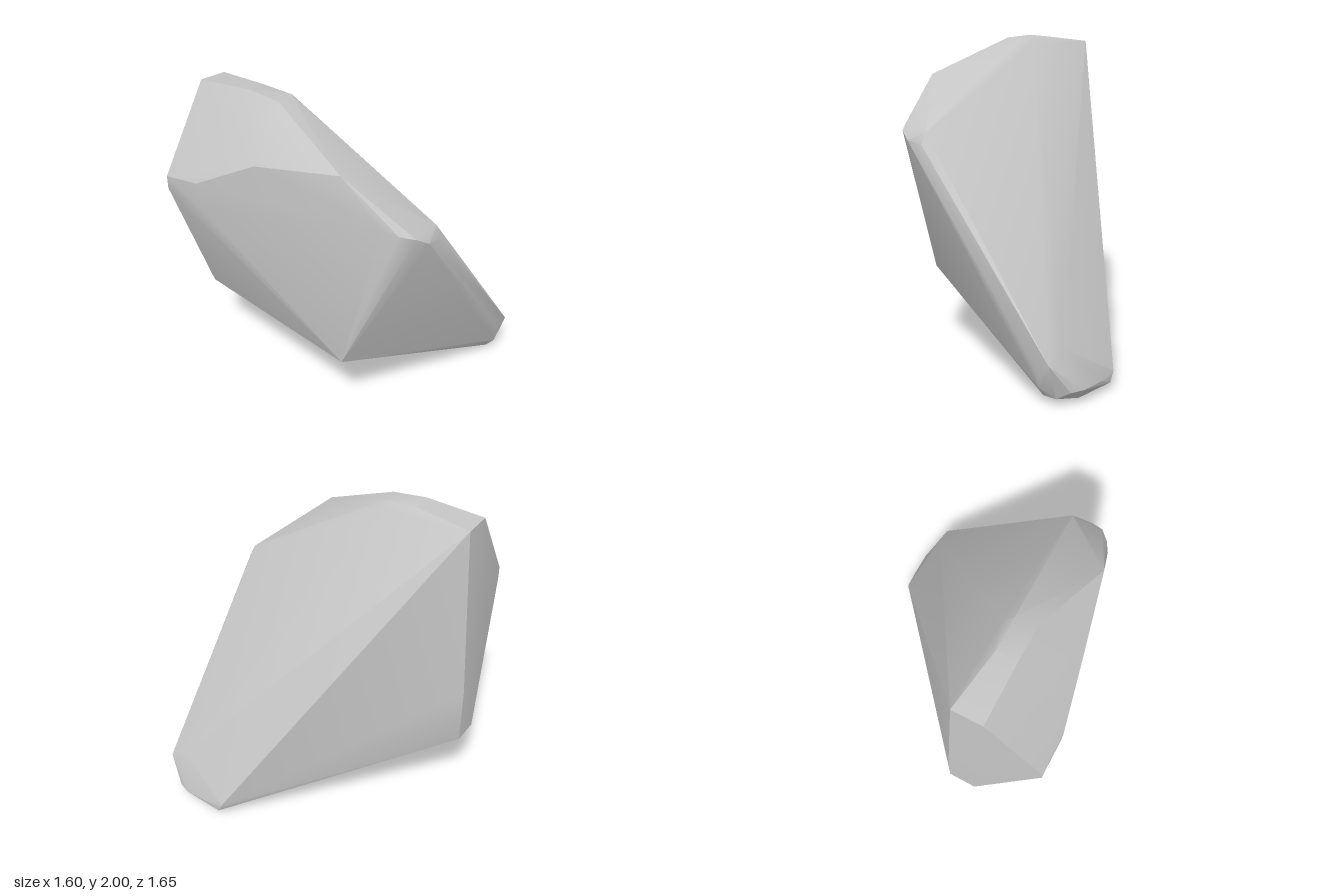
import * as THREE from 'three';
import { ConvexGeometry } from 'three/addons/geometries/ConvexGeometry.js';
import { toCreasedNormals } from 'three/addons/utils/BufferGeometryUtils.js';

// Corner groups of the leaning boulder, as [x, y, z]
const crest = [
  [-0.44, 1.98, -0.15], [-0.44, 2, -0.38], [-0.44, 1.97, -0.76],
  [-0.31, 1.98, -0.17], [-0.31, 1.99, -0.38], [-0.26, 1.95, -0.2], [-0.25, 1.96, -0.76],
];
const leftSide = [
  [-0.59, 1.75, 0.4], [-0.71, 1.7, -0.11], [-0.8, 1.51, -0.49], [-0.8, 1.36, -0.49],
  [-0.8, 1.48, -0.74], [-0.8, 1.4, -0.74], [-0.59, 0.5, 0.4],
];
const back = [[-0.42, 0.5, -0.83], [-0.24, 0.5, -0.83], [-0.24, 0.87, -0.83]];
const frontRidge = [
  [-0.54, 1.48, 0.64], [-0.5, 1.45, 0.72], [-0.44, 1.43, 0.79], [-0.36, 1.38, 0.825],
  [-0.24, 1.36, 0.825], [-0.24, 1.43, 0.79], [0.71, 0.25, 0.825], [0.61, 0.22, 0.825],
];
const foot = [
  [0.7, 0.32, 0.7], [0.79, 0.1, 0.34], [0.79, 0.04, 0.37], [0.8, 0.08, 0.46], [0.8, 0.08, 0.63],
  [0.77, 0.08, 0.71], [0.74, 0.01, 0.4], [0.74, 0.01, 0.6], [0.6, 0, 0.37], [0.6, 0, 0.64],
  [0.61, 0.04, 0.75], [0.7, 0.04, 0.75], [0.62, 0.1, 0.8],
];

export function createModel() {
  const stoneGrey = new THREE.MeshStandardMaterial({ color: 0xc4c4c4 });
  stoneGrey.name = 'stoneGrey';

  // Wrap the corners, softening the small bevels and keeping the strong edges
  const corners = [crest, leftSide, back, frontRidge, foot].flat().map((p) => new THREE.Vector3(...p));
  const boulder = new THREE.Mesh(toCreasedNormals(new ConvexGeometry(corners), THREE.MathUtils.degToRad(28)), stoneGrey);
  boulder.name = 'boulder';

  const group = new THREE.Group();
  group.name = 'rock';
  group.add(boulder);
  return group;
}
